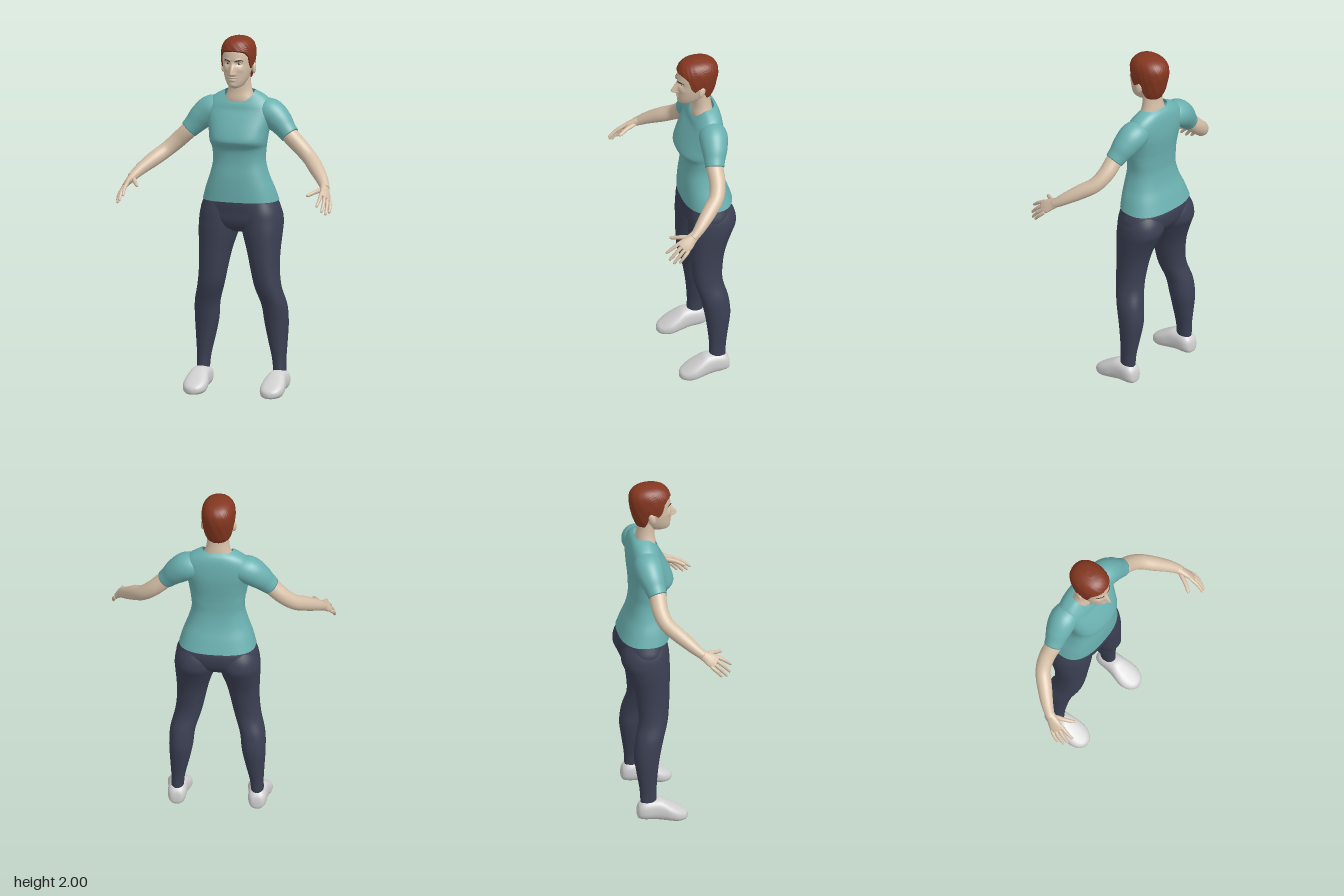
import * as THREE from 'three';

const mat = (name, color, side = THREE.FrontSide) => {
  const m = new THREE.MeshStandardMaterial({ color, side });
  m.name = name;
  return m;
};

// Smooth (Catmull-Rom) sampling of a table of rows, u in 0..1
function sample(rows, u) {
  const n = rows.length - 1, f = u * n, i = Math.min(Math.floor(f), n - 1), t = f - i;
  const r = (k) => rows[THREE.MathUtils.clamp(k, 0, n)];
  const [a, b, c, d] = [r(i - 1), r(i), r(i + 1), r(i + 2)];
  return b.map((_, k) => b[k] + 0.5 * t * (c[k] - a[k]
    + t * (2 * a[k] - 5 * b[k] + 4 * c[k] - d[k] + t * (3 * (b[k] - c[k]) + d[k] - a[k]))));
}

// Closed skin over rings: fn(u, angle) returns a point; ends may be capped
function skin(fn, nu, nv, caps = true) {
  const pos = [], idx = [];
  for (let i = 0; i <= nu; i++)
    for (let j = 0; j < nv; j++) pos.push(...fn(i / nu, (j / nv) * Math.PI * 2));
  for (let i = 0; i < nu; i++)
    for (let j = 0; j < nv; j++) {
      const a = i * nv + j, c = i * nv + (j + 1) % nv;
      idx.push(a, a + nv, c, a + nv, c + nv, c);
    }
  if (caps) for (const i of [0, nu]) {
    const mid = [0, 0, 0], m = pos.length / 3;
    for (let j = 0; j < nv; j++) for (let k = 0; k < 3; k++) mid[k] += pos[(i * nv + j) * 3 + k] / nv;
    pos.push(...mid);
    for (let j = 0; j < nv; j++) {
      const a = i * nv + j, c = i * nv + (j + 1) % nv;
      idx.push(...(i === 0 ? [m, a, c] : [m, c, a]));
    }
  }
  const g = new THREE.BufferGeometry();
  g.setAttribute('position', new THREE.Float32BufferAttribute(pos, 3));
  g.setIndex(idx);
  g.computeVertexNormals();
  return g;
}

const pw = (v, p) => Math.sign(v) * Math.abs(v) ** (2 / p);

// Point on a level ring; row = [y, x0, x1, z0, z1, front drop]
function ring([y, x0, x1, z0, z1, drop = 0], a, p) {
  const c = pw(Math.cos(a), p), s = pw(Math.sin(a), p);
  return [(x0 + x1) / 2 + c * (x1 - x0) / 2, y - drop * Math.max(0, s) ** 1.5, (z0 + z1) / 2 + s * (z1 - z0) / 2];
}
const loft = (rows, p = 2, nv = 40, caps = true) =>
  skin((u, a) => ring(sample(rows, u), a, p), (rows.length - 1) * 5, nv, caps);
const centred = (rows) => rows.map(([y, h, ...rest]) => [y, -h, h, ...rest]);

// Limb along points [x, y, z, wide radius, thin radius]
function limb(points, ref = [0, 0, 1], nv = 24) {
  const rows = points.map(([x, y, z, a, b = a]) => [x, y, z, a, b]);
  const at = (u) => new THREE.Vector3(...sample(rows, u));
  const N0 = new THREE.Vector3(...ref);
  return skin((u, a) => {
    const r = sample(rows, u);
    const T = at(Math.min(1, u + 0.01)).sub(at(Math.max(0, u - 0.01))).normalize();
    const B = N0.clone().cross(T).normalize(), N = T.clone().cross(B);
    return at(u).addScaledVector(N, r[3] * Math.cos(a)).addScaledVector(B, r[4] * Math.sin(a)).toArray();
  }, (rows.length - 1) * 5, nv);
}

function mirrored(geo) {
  const g = geo.clone().scale(-1, 1, 1), ix = g.index.array;
  for (let i = 0; i < ix.length; i += 3) [ix[i], ix[i + 1]] = [ix[i + 1], ix[i]];
  return g;
}

export function createModel() {
  const model = new THREE.Group();
  const skinMat = mat('skin', 0xd6c0a8), hairMat = mat('hair', 0x843720, THREE.DoubleSide);
  const shirtMat = mat('shirt teal', 0x6bb0b0, THREE.DoubleSide), trouserMat = mat('trouser navy', 0x3b4053);
  const shoeMat = mat('shoe grey', 0xd0d0d0), eyeMat = mat('eye white', 0xc9c2b8), darkMat = mat('dark brown', 0x3a2a22);
  const add = (name, geo, m) => {
    const mesh = new THREE.Mesh(geo, m);
    mesh.name = name;
    model.add(mesh);
  };
  const pair = (name, geo, m) => {
    add(name + 'Left', geo, m);
    add(name + 'Right', mirrored(geo), m);
  };

  // Shirt body with the neckline dipping at the front
  add('shirt', loft(centred([
    [1.08, 0.212, -0.262, 0.016, 0], [1.15, 0.191, -0.238, 0.016, 0], [1.22, 0.165, -0.212, 0.013, 0],
    [1.30, 0.146, -0.197, 0.005, 0], [1.37, 0.15, -0.197, 0.01, 0], [1.405, 0.157, -0.199, 0.037, 0],
    [1.43, 0.161, -0.201, 0.043, 0], [1.48, 0.169, -0.206, 0.026, 0], [1.54, 0.183, -0.21, -0.003, 0],
    [1.60, 0.19, -0.207, -0.028, 0.015], [1.645, 0.162, -0.2, -0.035, 0.04],
    [1.675, 0.12, -0.188, -0.04, 0.055], [1.692, 0.085, -0.17, -0.047, 0.06],
  ]), 2.5, 64, false), shirtMat);
  pair('sleeve', limb([
    [0.1, 1.575, -0.125, 0.065], [0.165, 1.572, -0.125, 0.079], [0.222, 1.53, -0.116, 0.072],
    [0.262, 1.487, -0.105, 0.059], [0.292, 1.455, -0.097, 0.052],
  ], [0, 0, 1], 36), shirtMat);

  // Trousers: hips and two legs
  add('hips', loft(centred([
    [0.905, 0.04, -0.16, -0.07], [0.93, 0.12, -0.205, -0.02], [0.97, 0.215, -0.242, 0],
    [1.02, 0.228, -0.258, 0.004], [1.07, 0.213, -0.257, 0.007], [1.13, 0.188, -0.23, 0.002],
  ]), 2.3, 56), trouserMat);
  pair('leg', loft([
    [0.09, 0.19, 0.25, -0.172, -0.092], [0.13, 0.186, 0.255, -0.178, -0.088], [0.2, 0.178, 0.255, -0.182, -0.088],
    [0.3, 0.155, 0.261, -0.197, -0.08], [0.4, 0.135, 0.266, -0.21, -0.066], [0.5, 0.123, 0.262, -0.2, -0.045],
    [0.6, 0.092, 0.238, -0.176, -0.016], [0.7, 0.07, 0.228, -0.181, -0.005], [0.8, 0.048, 0.229, -0.2, 0],
    [0.9, 0.018, 0.235, -0.238, 0.004], [0.96, 0.002, 0.236, -0.263, 0.003], [1.02, 0.002, 0.227, -0.258, 0],
    [1.08, 0.015, 0.2, -0.23, -0.01],
  ], 2.15, 44), trouserMat);

  // Shoes, built heel to toe: [z, half width, bottom, top]
  const shoe = [
    [-0.198, 0.015, 0.045, 0.075], [-0.19, 0.036, 0.031, 0.11], [-0.16, 0.05, 0.023, 0.135],
    [-0.1, 0.053, 0.018, 0.14], [-0.06, 0.058, 0.011, 0.135], [-0.02, 0.066, 0.005, 0.112],
    [0.02, 0.067, 0, 0.087], [0.055, 0.054, 0.002, 0.064], [0.077, 0.032, 0.006, 0.048], [0.086, 0.006, 0.015, 0.032],
  ];
  pair('shoe', skin((u, a) => {
    const [z, w, y0, y1] = sample(shoe, u);
    return [0.222 + w * pw(Math.cos(a), 2.5), (y0 + y1) / 2 - pw(Math.sin(a), 2.5) * (y1 - y0) / 2, z];
  }, 45, 36), shoeMat);

  // Arms and hands
  pair('arm', limb([
    [0.24, 1.51, -0.105, 0.043], [0.29, 1.455, -0.097, 0.047], [0.355, 1.392, -0.094, 0.045],
    [0.415, 1.338, -0.07, 0.042], [0.468, 1.295, -0.015, 0.041], [0.52, 1.25, 0.045, 0.034],
    [0.55, 1.217, 0.088, 0.027], [0.56, 1.205, 0.108, 0.024],
  ]), skinMat);
  const spread = [0.038, -0.045, -0.04];
  pair('palm', limb([
    [0.546, 1.223, 0.08, 0.026, 0.025], [0.561, 1.2, 0.115, 0.031, 0.021],
    [0.575, 1.178, 0.148, 0.039, 0.016], [0.584, 1.162, 0.174, 0.034, 0.01],
  ], spread), skinMat);
  const fingers = [
    ['indexFinger', [0.558, 1.188, 0.178], [0.558, 1.13, 0.262]],
    ['middleFinger', [0.575, 1.172, 0.175], [0.583, 1.098, 0.25]],
    ['ringFinger', [0.588, 1.157, 0.163], [0.6, 1.082, 0.23]],
    ['littleFinger', [0.598, 1.143, 0.147], [0.611, 1.088, 0.198]],
    ['thumb', [0.54, 1.2, 0.12], [0.489, 1.18, 0.22]],
  ];
  for (const [name, from, to] of fingers) {
    const k = name === 'thumb' ? 1.2 : 1;
    const at = (t, bow, r) => [...from.map((v, i) => v + (to[i] - v) * t + (i < 2 ? bow : 0)), r * k];
    pair(name, limb([at(-0.15, 0, 0.009), at(0.2, 0.003, 0.0105), at(0.5, 0.005, 0.0095),
      at(0.88, 0.002, 0.0078), at(0.98, 0, 0.005), at(1, 0, 0.001)], spread, 12), skinMat);
  }

  // Neck
  add('neck', loft(centred([
    [1.59, 0.1, -0.165, -0.06], [1.64, 0.088, -0.166, -0.05], [1.69, 0.069, -0.16, -0.056],
    [1.74, 0.061, -0.153, -0.056], [1.81, 0.06, -0.15, -0.05],
  ])), skinMat);

  // Head with the face raised by soft bumps: [x, y, width, height, push]
  const headRows = centred([
    [1.718, 0.015, -0.05, 0.008], [1.728, 0.038, -0.085, 0.024], [1.75, 0.054, -0.115, 0.031],
    [1.78, 0.067, -0.14, 0.033], [1.82, 0.077, -0.16, 0.034], [1.86, 0.082, -0.175, 0.032],
    [1.9, 0.084, -0.182, 0.031], [1.94, 0.079, -0.178, 0.02], [1.97, 0.06, -0.155, -0.008], [1.985, 0.03, -0.12, -0.045],
  ]);
  const bumps = [
    [0.033, 1.857, 0.016, 0.01, -0.012], [0.03, 1.88, 0.02, 0.007, 0.004], [0.012, 1.8, 0.007, 0.006, 0.009],
    [0, 1.781, 0.017, 0.005, 0.007], [0, 1.767, 0.014, 0.005, 0.007], [0, 1.774, 0.02, 0.002, -0.003],
    [0, 1.738, 0.018, 0.01, 0.005], [0.045, 1.825, 0.016, 0.014, 0.004],
  ];
  const { smoothstep } = THREE.MathUtils;
  add('head', skin((u, a) => {
    const p = ring(sample(headRows, u), a, 2.1), [x, y] = p;
    if (Math.sin(a) > 0) {
      let push = 0;
      for (const [bx, by, w, h, d] of bumps)
        push += d * Math.exp(-(((Math.abs(x) - bx) / w) ** 2) - ((y - by) / h) ** 2);
      const ridge = (1 - smoothstep(y, 1.803, 1.875)) * smoothstep(y, 1.788, 1.803);
      push += 0.036 * ridge * Math.exp(-((x / 0.012) ** 2));
      p[2] += push * smoothstep(Math.sin(a), 0, 0.4);
    }
    return p;
  }, 100, 120), skinMat);
  const ball = (x, y, z, sx, sy, sz) => new THREE.SphereGeometry(1, 20, 14).scale(sx, sy, sz).translate(x, y, z);
  pair('ear', ball(0, 0, 0, 0.011, 0.032, 0.019).rotateX(-0.25).rotateY(0.25).translate(0.087, 1.823, -0.085), skinMat);
  pair('eye', ball(0.033, 1.857, 0.004, 0.014, 0.008, 0.013), eyeMat);
  pair('iris', ball(0.032, 1.857, 0.014, 0.0055, 0.0055, 0.004), darkMat);
  pair('eyebrow', limb([[0.013, 1.871, 0.034, 0.002], [0.03, 1.877, 0.03, 0.0035], [0.045, 1.878, 0.02, 0.003],
    [0.054, 1.873, 0.01, 0.001]], [0, 1, 0], 8), darkMat);

  // Short hair, its lower edge following a hairline of [front-to-back position, height]
  const hairRows = centred([
    [1.745, 0.06, -0.152, 0], [1.78, 0.077, -0.17, 0.03], [1.82, 0.085, -0.183, 0.038], [1.86, 0.09, -0.192, 0.037],
    [1.9, 0.093, -0.198, 0.037], [1.94, 0.089, -0.195, 0.029], [1.97, 0.074, -0.176, 0.01],
    [1.988, 0.05, -0.145, -0.02], [1.998, 0.015, -0.105, -0.06],
  ]);
  const hairline = [[-1, 1.757], [-0.5, 1.765], [-0.35, 1.79], [-0.15, 1.845], [0.05, 1.845], [0.2, 1.825],
    [0.4, 1.85], [0.55, 1.9], [0.75, 1.922], [1, 1.93]];
  const lookup = (table, v) => {
    const i = Math.max(1, table.findIndex((r) => r[0] >= v - 1e-9)), [a, b] = [table[i - 1], table[i]];
    return a[1] + (b[1] - a[1]) * (v - a[0]) / (b[0] - a[0]);
  };
  const heightToU = hairRows.map((r, i) => [r[0], i / (hairRows.length - 1)]);
  add('hair', skin((u, a) => {
    const low = lookup(heightToU, lookup(hairline, Math.sin(a)));
    const p = ring(sample(hairRows, low + (1 - low) * u), a, 2.2);
    const tuft = 1 + 0.014 * Math.sin(a * 23 + u * 31) * Math.sin(u * 47 + a * 9) * (1 - u * u);
    return [p[0] * tuft, p[1], -0.08 + (p[2] + 0.08) * tuft];
  }, 60, 120), hairMat);

  return model;
}
